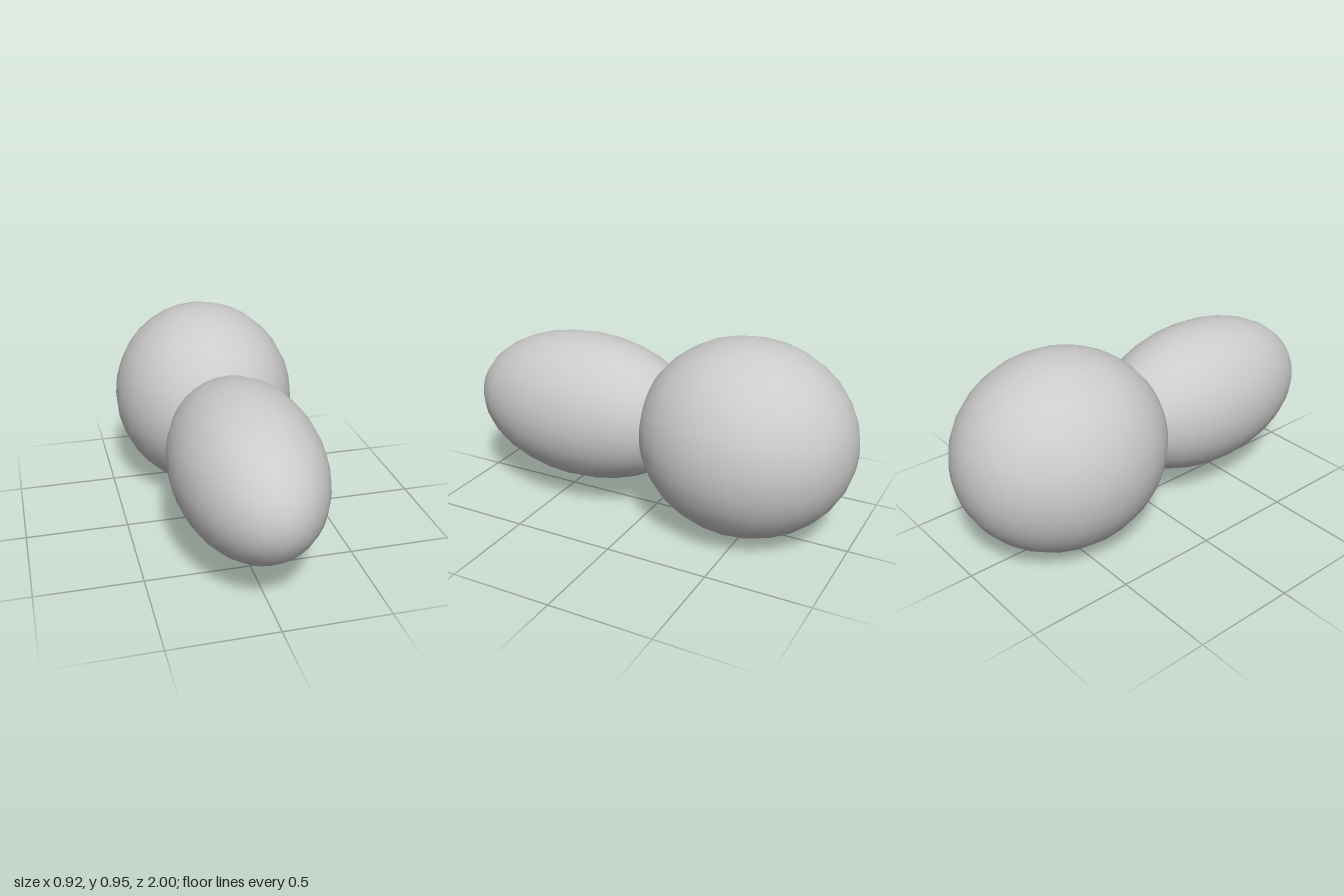
import * as THREE from 'three';

const material = new THREE.MeshStandardMaterial({ color: 0xcccccc });

// Smooth ellipsoid with its poles on the z axis
function ellipsoid(name, rx, ry, rz, y, z) {
  const geometry = new THREE.SphereGeometry(1, 32, 16);
  geometry.rotateX(Math.PI / 2);
  geometry.scale(rx, ry, rz);
  const mesh = new THREE.Mesh(geometry, material);
  mesh.name = name;
  mesh.position.set(0, y, z);
  return mesh;
}

export function createModel() {
  const model = new THREE.Group();
  model.name = 'twoLobedBody';
  const centreY = 0.477;

  // Large, rounder lobe at the back
  model.add(ellipsoid('backLobe', 0.462, 0.476, 0.525, centreY, -0.475));

  // Slimmer, longer lobe at the front, sunk into the back one
  model.add(ellipsoid('frontLobe', 0.35, 0.371, 0.6, centreY, 0.4));

  return model;
}
